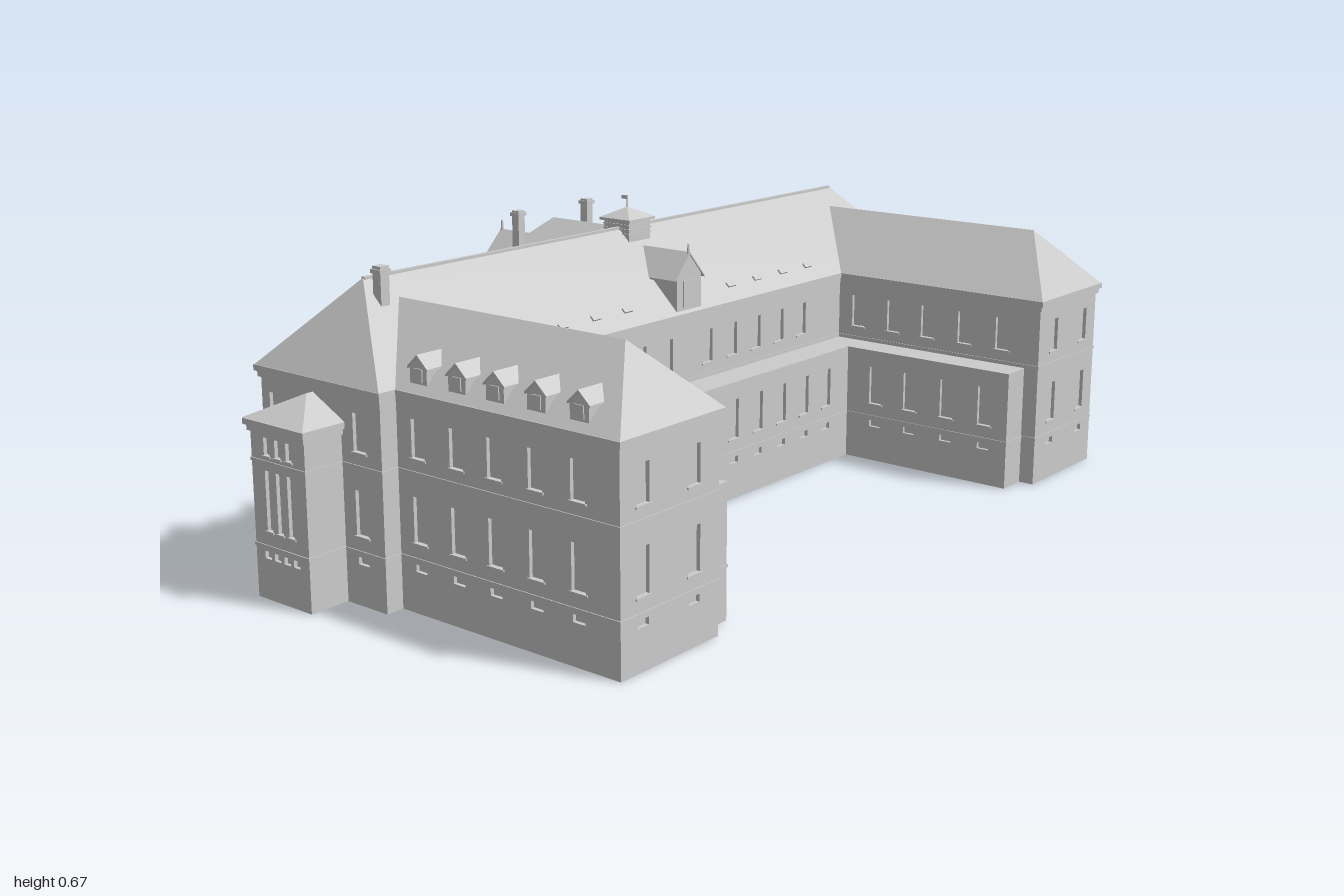
import * as THREE from 'three';

const stone = new THREE.MeshStandardMaterial({ color: 0xcccccc, side: THREE.DoubleSide });
stone.name = 'pale grey stone';

export function createModel() {
  const model = new THREE.Group();
  model.name = 'courtyardBuilding';

  const add = (name, geometry, x = 0, y = 0, z = 0, turn = 0, parent = model) => {
    const mesh = new THREE.Mesh(geometry, stone);
    mesh.name = name;
    mesh.position.set(x, y, z);
    mesh.rotation.y = turn;
    parent.add(mesh);
    return mesh;
  };
  const box = (name, w, h, d, x, y, z, parent) =>
    add(name, new THREE.BoxGeometry(w, h, d), x, y, z, 0, parent);

  // Flat polygons, each a loop of [x, y, z] corners
  const polygons = (name, faces) => {
    const p = [];
    for (const f of faces)
      for (let i = 1; i < f.length - 1; i++) p.push(...f[0], ...f[i], ...f[i + 1]);
    const g = new THREE.BufferGeometry();
    g.setAttribute('position', new THREE.Float32BufferAttribute(p, 3));
    g.computeVertexNormals();
    return add(name, g);
  };

  // Roof over four eave corners c, with ridge r0 (near c3, c0) to r1 (near c1, c2)
  const hipRoof = (name, c, y, r0, r1, closed = true) => {
    const [a, b, d, e] = c.map(([x, z]) => [x, y, z]);
    const faces = [[b, a, r0, r1], [d, b, r1], [e, d, r1, r0]];
    if (closed) faces.push([a, e, r0]);
    polygons(name, faces);
  };

  // Window openings [position along wall, bottom, width, height]
  const slits = (ps) => ps.map((p) => [p, 0.083, 0.03, 0.015]);
  const ground = (ps) => ps.map((p) => [p, 0.14, 0.034, 0.09]);
  const upper = (ps) => ps.map((p) => [p, 0.305, 0.034, 0.075]);
  const storeys = (ps) => [...slits(ps), ...ground(ps), ...upper(ps)];

  // Wall from a to b ([x, z]), outside on the right-hand side, with recessed windows
  const T = 0.008;
  const wall = (name, a, b, height, openings = [], cornice = true) => {
    const dx = b[0] - a[0], dz = b[1] - a[1], len = Math.hypot(dx, dz);
    const axis = Math.abs(dx) > Math.abs(dz) ? 0 : 1;
    const g = new THREE.Group();
    g.name = name;
    g.position.set(a[0], 0, a[1]);
    g.rotation.y = Math.atan2(-dz, dx);
    model.add(g);
    const shape = new THREE.Shape([[0, 0], [len, 0], [len, height], [0, height]].map((p) => new THREE.Vector2(...p)));
    for (const [p, y, w, h] of openings) {
      const u = Math.abs(p - a[axis]);
      shape.holes.push(new THREE.Path([[u - w / 2, y], [u - w / 2, y + h], [u + w / 2, y + h], [u + w / 2, y]]
        .map((q) => new THREE.Vector2(...q))));
      box('windowPane', w + 0.006, h + 0.006, 0.003, u, y + h / 2, -T - 0.0015, g);
      if (h > 0.03) box('windowSill', w + 0.008, 0.004, 0.004, u, y - 0.002, 0.001, g);
    }
    add('wallPanel', new THREE.ExtrudeGeometry(shape, { depth: T, bevelEnabled: false }), 0, 0, -T, 0, g);
    for (const y of [0.108, 0.277])
      if (y < height - 0.02) box('stringCourse', len + 0.004, 0.006, 0.004, len / 2, y, 0, g);
    if (cornice) {
      box('lowerCornice', len + 0.01, 0.012, 0.01, len / 2, height - 0.016, 0, g);
      box('upperCornice', len + 0.02, 0.012, 0.02, len / 2, height - 0.004, 0, g);
    }
  };

  // Gabled dormer; the front faces the turn direction
  const dormer = (name, x, z, turn, w, base, eave, peak, depth) => {
    const g = new THREE.Group();
    g.name = name;
    g.position.set(x, 0, z);
    g.rotation.y = turn;
    model.add(g);
    const h = w / 2, o = w * 0.1;
    const prism = (part, pts, d, front) => add(part, new THREE.ExtrudeGeometry(
      new THREE.Shape(pts.map((p) => new THREE.Vector2(...p))), { depth: d, bevelEnabled: false }), 0, 0, front - d, 0, g);
    prism('dormerBody', [[-h, base], [h, base], [h, eave], [0, peak - 0.003], [-h, eave]], depth, 0);
    prism('dormerRoof', [[-h - o, eave - o], [-h - o, eave - o + 0.004], [0, peak], [h + o, eave - o + 0.004],
      [h + o, eave - o], [0, peak - 0.005]], depth + 0.003, 0.003);
    box('dormerWindow', w * 0.5, (eave - base) * 0.7, 0.003, 0, (base + eave) / 2 + 0.003, 0.001, g);
  };

  const H = 0.43;
  const wingX = [0.095, 0.195, 0.29, 0.39, 0.49];
  const courtZ = [-0.43, -0.34, -0.25, -0.16, -0.07, 0.07, 0.16, 0.25, 0.34, 0.43];
  const rearZ = [0.27, 0.385, 0.5, 0.615, 0.73, 0.845];

  // Main range
  wall('courtyardWall', [0.04, 0.59], [0.04, -0.59], H, upper(courtZ));
  hipRoof('mainRoof', [[0.05, 0.91], [0.05, -0.91], [-0.31, -0.91], [-0.31, 0.91]], H,
    [-0.13, 0.605, 0.78], [-0.13, 0.605, -0.78]);
  box('mainRidge', 0.008, 0.006, 1.56, -0.13, 0.604, 0);

  // Rear pavilion
  wall('pavilionRearWall', [-0.525, -0.2], [-0.525, 0.2], H,
    [...slits([-0.12, 0.12]), ...ground([-0.12, 0.12]), ...upper([-0.12, 0, 0.12]), [0, 0.112, 0.045, 0.115]]);
  wall('pavilionLeftWall', [-0.525, 0.2], [-0.3, 0.2], H, storeys([-0.41]));
  wall('pavilionRightWall', [-0.3, -0.2], [-0.525, -0.2], H, storeys([-0.41]));
  hipRoof('pavilionRoof', [[-0.3, 0.21], [-0.535, 0.21], [-0.535, -0.21], [-0.3, -0.21]], H,
    [-0.14, 0.6, 0], [-0.36, 0.6, 0], false);
  polygons('pavilionValleys', [-1, 1].map((s) => [[-0.3, H, s * 0.21], [-0.14, 0.6, 0], [-0.3, H, 0]]));
  for (let i = 0; i < 5; i++) box('entranceStep', 0.075 - i * 0.015, 0.011, 0.12, -0.5625 + i * 0.0075, 0.0645 + i * 0.011, 0);
  box('doorHood', 0.012, 0.01, 0.08, -0.53, 0.25, 0);
  for (const s of [-1, 1]) box('doorPilaster', 0.008, 0.135, 0.01, -0.528, 0.18, s * 0.03);

  for (const s of [-1, 1]) {
    // Walls listed for the left half; the order of ends flips on the right half
    const sideWall = (name, a, b, h, o = [], c = true) => {
      const ends = [[a[0], a[1] * s], [b[0], b[1] * s]];
      if (s < 0) ends.reverse();
      wall(name, ends[0], ends[1], h, o, c);
    };
    const along = (list) => list.map((z) => z * s);

    sideWall('mainRearWall', [-0.3, 0.2], [-0.3, 0.9], H, storeys(along(rearZ)));
    sideWall('mainEndWall', [-0.3, 0.9], [0.04, 0.9], H, storeys([-0.26, -0.02]));
    sideWall('mainReturnWall', [0.04, 0.9], [0.04, 0.86], H);

    // Courtyard wing
    sideWall('wingOuterWall', [0.04, 0.86], [0.585, 0.86], H, storeys(wingX));
    sideWall('wingEndWall', [0.585, 0.86], [0.585, 0.59], H, storeys(along([0.66, 0.8])));
    sideWall('wingInnerWall', [0.585, 0.59], [0.04, 0.59], H, upper(wingX));
    hipRoof('wingRoof', [[0.05, s * 0.87], [0.595, s * 0.87], [0.595, s * 0.58], [0.05, s * 0.58]], H,
      [-0.09, 0.565, s * 0.727], [0.485, 0.565, s * 0.727], false);
    for (const x of wingX) dormer('wingDormer', x, s * 0.853, s > 0 ? 0 : Math.PI, 0.044, 0.442, 0.478, 0.502, 0.07);

    // Low terrace range along the wing
    sideWall('terraceWingWall', [0.55, 0.52], [0.115, 0.52], 0.27,
      [...slits(wingX.slice(1)), ...ground(wingX.slice(1))], false);
    sideWall('terraceEndWall', [0.55, 0.59], [0.55, 0.52], 0.27, [], false);

    // Stair tower on the end wall
    sideWall('towerOuterSide', [-0.225, 0.9], [-0.225, 0.99], 0.355);
    sideWall('towerFace', [-0.225, 0.99], [-0.07, 0.99], 0.355, [
      ...[-0.19, -0.162, -0.134, -0.106].map((x) => [x, 0.083, 0.018, 0.015]),
      ...[-0.18, -0.148, -0.116].map((x) => [x, 0.14, 0.016, 0.12]),
      ...[-0.18, -0.148, -0.116].map((x) => [x, 0.29, 0.016, 0.035])]);
    sideWall('towerInnerSide', [-0.07, 0.99], [-0.07, 0.9], 0.355);
    const apex = [-0.1475, 0.402, s * 0.915], tip = [-0.1475, 0.402, s * 0.9];
    hipRoof('towerRoof', [[-0.235, s * 0.9], [-0.235, s], [-0.06, s], [-0.06, s * 0.9]], 0.358, tip, apex, false);

    // Roof dormers and skylights of the main range
    for (const z of [0.335, 0.535, 0.735]) dormer('mainDormer', -0.297, s * z, -Math.PI / 2, 0.048, 0.44, 0.475, 0.503, 0.075);
    for (const z of [0.24, 0.44, 0.64]) dormer('smallDormer', -0.227, s * z, -Math.PI / 2, 0.028, 0.505, 0.53, 0.545, 0.045);
    for (const z of [0.18, 0.28, 0.38, 0.48])
      box('skylight', 0.012, 0.006, 0.026, 0.018, 0.462, s * z).rotation.z = -Math.PI / 4;
    dormer('pavilionDormer', -0.512, s * 0.115, -Math.PI / 2, 0.04, 0.45, 0.478, 0.5, 0.065);

    // Pavilion chimney
    box('chimney', 0.02, 0.15, 0.02, -0.36, 0.555, s * 0.115);
    box('chimneyCap', 0.026, 0.008, 0.026, -0.36, 0.622, s * 0.115);
  }

  // Terrace front wall and U-shaped deck
  wall('terraceFrontWall', [0.115, 0.52], [0.115, -0.52], 0.27, [...slits(courtZ), ...ground(courtZ)], false);
  const deck = new THREE.Shape([[0.04, -0.59], [0.55, -0.59], [0.55, -0.52], [0.115, -0.52],
    [0.115, 0.52], [0.55, 0.52], [0.55, 0.59], [0.04, 0.59]].map((p) => new THREE.Vector2(...p)));
  add('terraceDeck', new THREE.ShapeGeometry(deck).rotateX(-Math.PI / 2), 0, 0.271, 0);

  // Large central dormers with finials
  dormer('courtyardGable', 0.042, 0, Math.PI / 2, 0.085, H, 0.512, 0.565, 0.15);
  dormer('rearGable', -0.527, 0, -Math.PI / 2, 0.085, H, 0.508, 0.555, 0.14);
  for (const [x, y] of [[0.04, 0.57], [-0.525, 0.565]])
    add('finial', new THREE.CylinderGeometry(0.002, 0.004, 0.024, 8), x, y, 0);

  // End chimney
  box('chimney', 0.022, 0.1, 0.022, -0.09, 0.582, 0.77);
  box('chimneyCap', 0.028, 0.008, 0.028, -0.09, 0.622, 0.77);

  // Cupola with weather vane
  box('cupolaBody', 0.072, 0.06, 0.072, -0.135, 0.59, 0);
  for (const y of [0.592, 0.602, 0.612]) box('cupolaLouvre', 0.077, 0.003, 0.077, -0.135, y, 0);
  box('cupolaCornice', 0.088, 0.006, 0.088, -0.135, 0.622, 0);
  add('cupolaRoof', new THREE.ConeGeometry(0.062, 0.022, 4, 1).rotateY(Math.PI / 4).toNonIndexed(), -0.135, 0.636, 0)
    .geometry.computeVertexNormals();
  add('vanePole', new THREE.CylinderGeometry(0.0015, 0.0015, 0.03, 6), -0.135, 0.658, 0);
  box('vaneFlag', 0.016, 0.008, 0.002, -0.142, 0.668, 0);

  return model;
}
